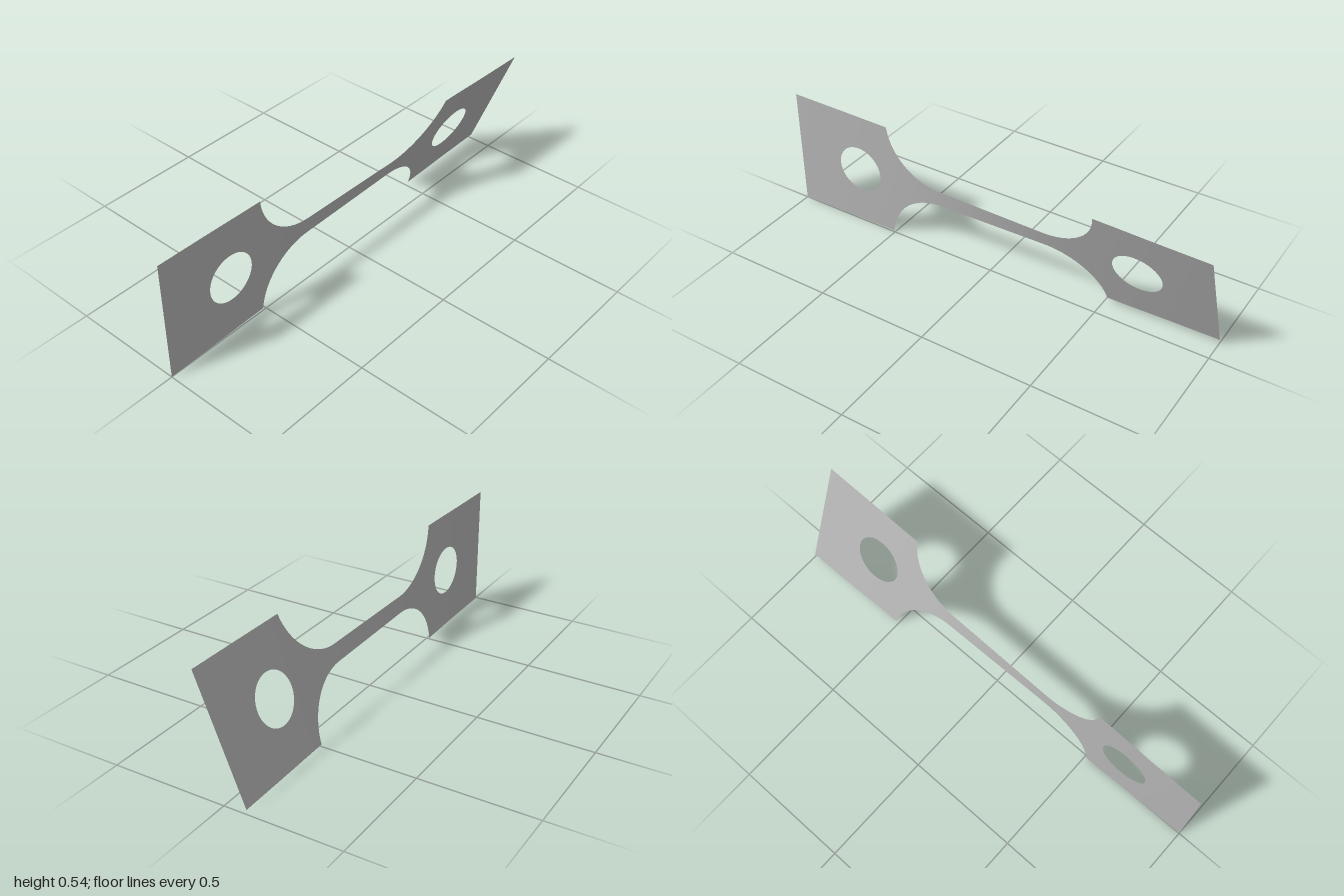
import * as THREE from 'three';

const HALF = 0.271;            // half height of the grip tabs, also the axis height
const NECK = 0.0375;           // half height of the gauge strip
const R = 0.26;                // fillet radius
const FILLET = 0.25;           // |x| where the fillets begin
const HOLE_X = 0.67, HOLE_R = 0.108;
const TWIST = THREE.MathUtils.degToRad(21.6);
const SHOULDER = FILLET + Math.sqrt(R * R - (NECK + R - HALF) ** 2);

// Outer edge of the strip, measured from the axis
function outer(x) {
  const a = Math.abs(x);
  if (a >= SHOULDER) return HALF;
  if (a <= FILLET) return NECK;
  return NECK + R - Math.sqrt(R * R - (a - FILLET) ** 2);
}

// Inner edge: the axis itself, or the rim of a grip hole
function inner(x) {
  const d = Math.abs(x) - HOLE_X;
  return Math.sqrt(Math.max(0, HOLE_R * HOLE_R - d * d));
}

// Twist angle: narrow sections twist more than wide ones
const STEPS = 800;
const twistSum = [0];
for (let i = 0; i < STEPS; i++) {
  const x = -1 + (2 * (i + 0.5)) / STEPS;
  twistSum.push(twistSum[i] + 1 / (outer(x) - inner(x)));
}
function twist(x) {
  const t = THREE.MathUtils.clamp((x + 1) / 2, 0, 1) * STEPS;
  const i = Math.min(Math.floor(t), STEPS - 1);
  const s = THREE.MathUtils.lerp(twistSum[i], twistSum[i + 1], t - i);
  return (TWIST * s) / twistSum[STEPS];
}

// Twisted sheet over the given x stations, one band above and one below the axis
function sheet(xs) {
  const pos = [], index = [], rows = 3;
  for (const side of [1, -1]) {
    const base = pos.length / 3;
    xs.forEach((x, i) => {
      const a = twist(x);
      for (let j = 0; j <= rows; j++) {
        const v = side * THREE.MathUtils.lerp(inner(x), outer(x), j / rows);
        pos.push(x, HALF + v * Math.cos(a), v * Math.sin(a));
        if (i === 0 || j === 0) continue;
        const d = base + i * (rows + 1) + j, c = d - 1, b = d - rows - 1, e = b - 1;
        if (side > 0) index.push(e, c, d, e, d, b);
        else index.push(e, d, c, e, b, d);
      }
    });
  }
  const g = new THREE.BufferGeometry();
  g.setAttribute('position', new THREE.Float32BufferAttribute(pos, 3));
  g.setIndex(index);
  g.computeVertexNormals();
  return g;
}

const range = (n, f) => Array.from({ length: n + 1 }, (_, i) => f(i / n));

export function createModel() {
  const group = new THREE.Group();
  const steel = new THREE.MeshStandardMaterial({ color: 0xb4b4b4, side: THREE.DoubleSide });
  steel.name = 'plain grey metal';

  // Stations are spaced evenly by angle around the holes and fillets
  const tab = [
    ...range(3, t => SHOULDER + t * (HOLE_X - HOLE_R - SHOULDER)).slice(0, -1),
    ...range(32, t => HOLE_X - HOLE_R * Math.cos(Math.PI * t)),
    ...range(8, t => HOLE_X + HOLE_R + t * (1 - HOLE_X - HOLE_R)).slice(1),
  ];
  const maxAngle = Math.asin((SHOULDER - FILLET) / R);
  const fillet = range(24, t => FILLET + R * Math.sin(maxAngle * t));
  const gauge = range(24, t => -FILLET + 2 * FILLET * t);
  const mirror = xs => xs.map(x => -x).reverse();

  const parts = {
    leftGripTab: tab,
    rightGripTab: mirror(tab),
    leftFillet: fillet,
    rightFillet: mirror(fillet),
    gaugeStrip: gauge,
  };
  for (const [name, xs] of Object.entries(parts)) {
    const mesh = new THREE.Mesh(sheet(xs), steel);
    mesh.name = name;
    group.add(mesh);
  }
  return group;
}
